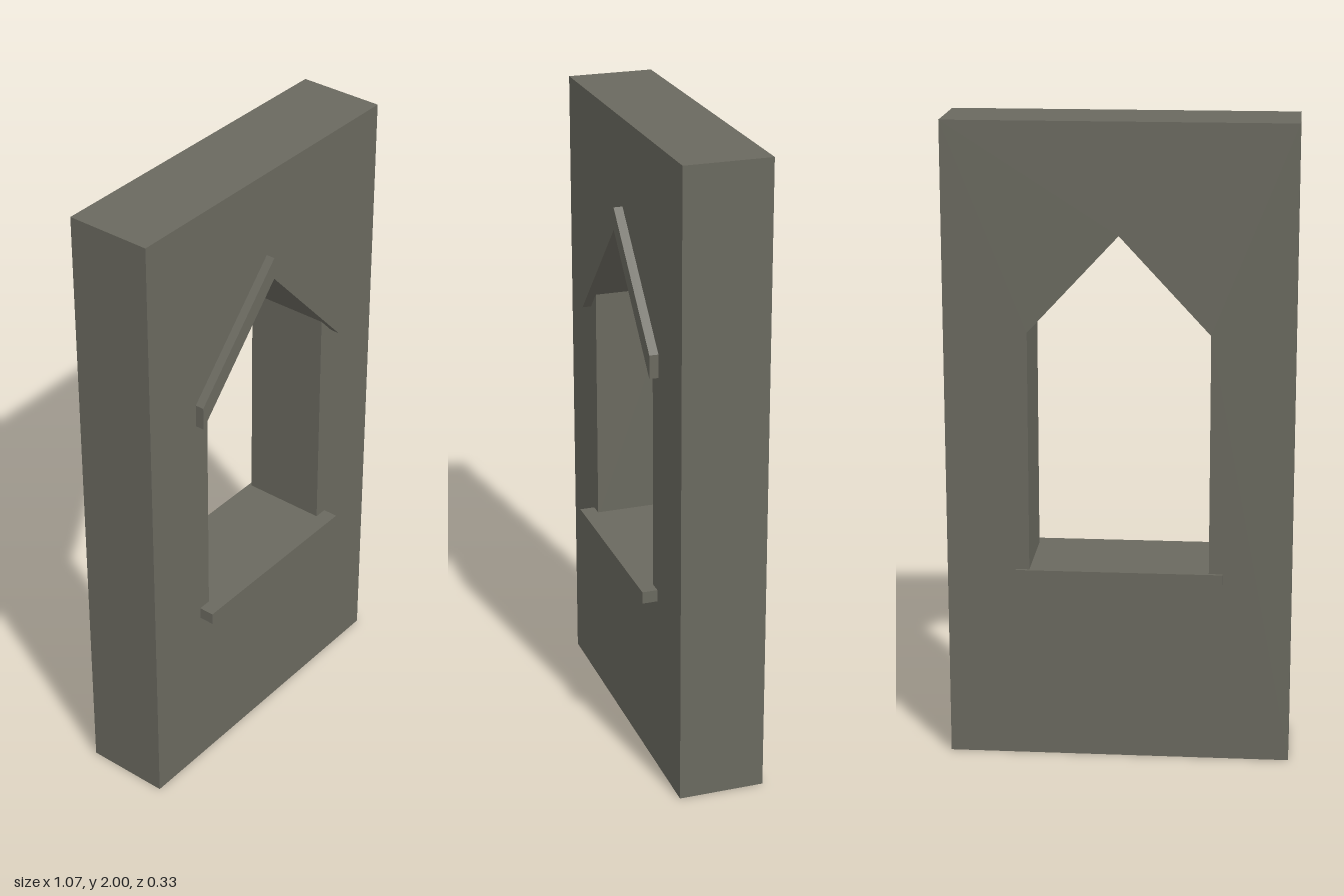
import * as THREE from 'three';

const stone = new THREE.MeshStandardMaterial({ color: 0x6a695f });
stone.name = 'stone';

const polygon = (Type, points) => new Type(points.map(([x, y]) => new THREE.Vector2(x, y)));

// Extrudes a front outline between two depths
function slab(name, shape, back, front) {
  const geometry = new THREE.ExtrudeGeometry(shape, { depth: front - back, bevelEnabled: false });
  geometry.translate(0, 0, back);
  const mesh = new THREE.Mesh(geometry, stone);
  mesh.name = name;
  return mesh;
}

export function createModel() {
  const group = new THREE.Group();
  group.name = 'windowWall';
  const wallBack = -0.155, wallFront = 0.115;

  // Wall with a gabled window opening; the sill covers its lower edge
  const wall = polygon(THREE.Shape, [[-0.533, 0], [0.533, 0], [0.533, 2], [-0.533, 2]]);
  wall.holes.push(polygon(THREE.Path, [
    [-0.278, 0.59], [-0.278, 1.361], [0, 1.66], [0.278, 1.361], [0.278, 0.59],
  ]));
  group.add(slab('wall', wall, wallBack, wallFront));

  // Pointed hood moulding above the opening, front only
  const hood = polygon(THREE.Shape, [
    [-0.33, 1.305], [0, 1.66], [0.33, 1.305], [0.33, 1.378], [0, 1.73], [-0.33, 1.378],
  ]);
  group.add(slab('hoodMoulding', hood, wallFront, 0.143));

  // Sill running through the wall and projecting on both sides
  const sill = polygon(THREE.Shape, [[-0.32, 0.572], [0.32, 0.572], [0.32, 0.61], [-0.32, 0.61]]);
  group.add(slab('sill', sill, -0.165, 0.163));

  return group;
}
